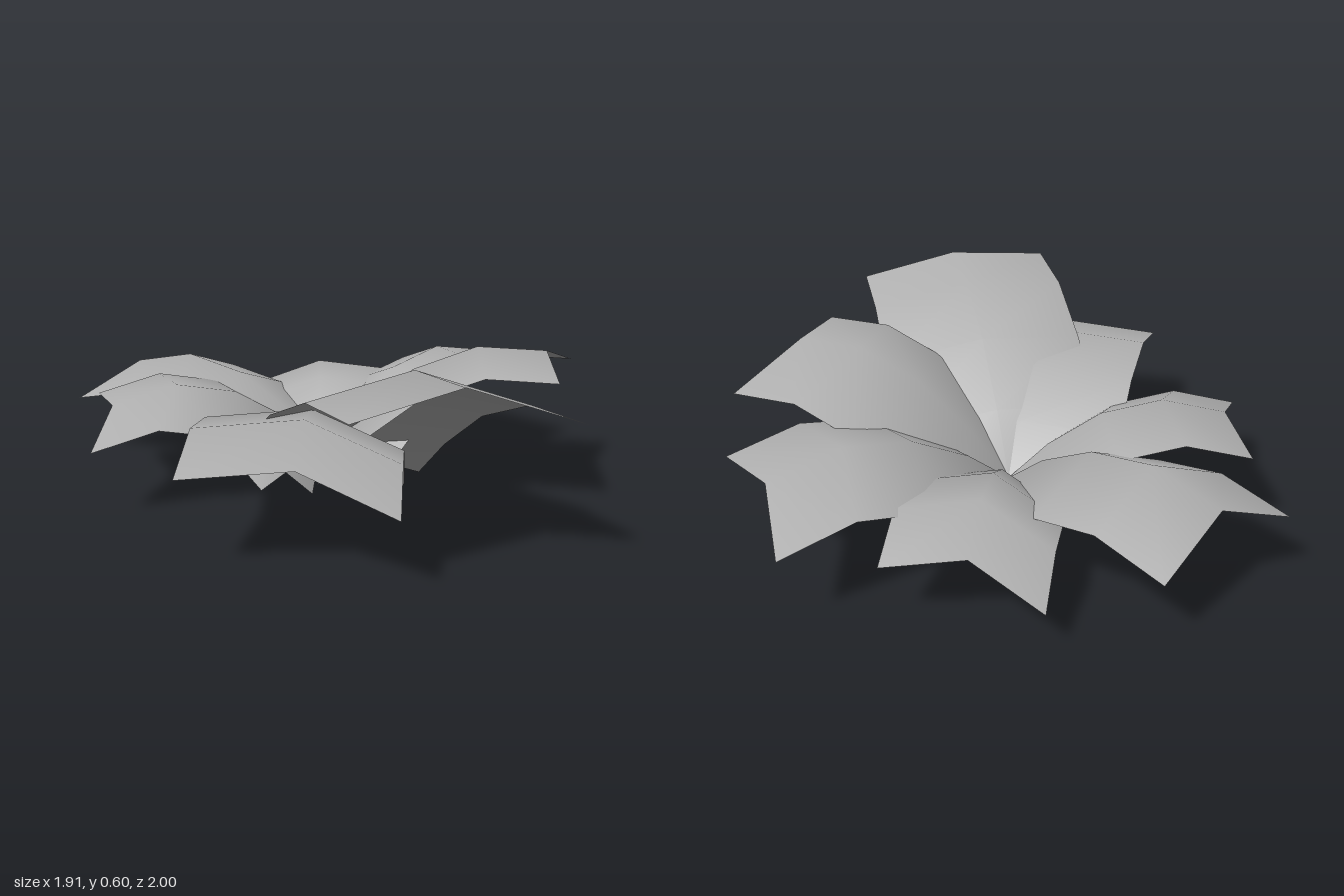
import * as THREE from 'three';

// Each leaf is set by its tip: two corners with the ridge point between them, and how far it arches
const LEAVES = [
  { name: 'frontLeaf', arch: 0.17, tip: [[-0.39, 0.31, 0.80], [-0.03, 0.34, 0.79], [0.28, 0.24, 0.92]] },
  { name: 'frontLeftLeaf', arch: 0.15, tip: [[0.13, 0.55, 1.00], [0.46, 0.60, 0.79], [0.83, 0.48, 0.75]] },
  { name: 'leftLeaf', arch: 0.15, tip: [[0.81, 0.48, 0.29], [0.81, 0.52, -0.02], [0.95, 0.42, -0.31]] },
  { name: 'backLeftLeaf', arch: 0.15, tip: [[0.88, 0.31, -0.55], [0.65, 0.35, -0.75], [0.52, 0.24, -1.00]] },
  { name: 'backLeaf', arch: 0.14, tip: [[0.24, 0.20, -0.91], [-0.03, 0.24, -0.87], [-0.28, 0.13, -0.94]] },
  { name: 'backRightLeaf', arch: 0.15, tip: [[-0.61, 0.22, -0.85], [-0.75, 0.33, -0.58], [-0.96, 0.22, -0.39]] },
  { name: 'rightLeaf', arch: 0.15, tip: [[-0.83, 0.30, -0.18], [-0.72, 0.33, 0.09], [-0.74, 0.24, 0.36]] },
];
const ROOT = new THREE.Vector3(0.01, 0.11, -0.15);
const ROWS = [0, 0.18, 0.42, 0.7, 1];

// Sweeps the folded tip section along an arched midrib from the root
function leafGeometry(tip, arch) {
  const corners = tip.map((p) => new THREE.Vector3(...p));
  const mid = corners[1];
  const positions = [];
  const index = [];
  ROWS.forEach((t, i) => {
    const rib = ROOT.clone().lerp(mid, t);
    rib.y += arch * 4 * t * (1 - t);
    corners.forEach((c, j) => {
      const p = c.clone().sub(mid).add(rib);
      positions.push(p.x, Math.max(p.y, 0), p.z);
      if (i < ROWS.length - 1 && j < 2) {
        const a = i * 3 + j;
        index.push(a, a + 3, a + 1, a + 1, a + 3, a + 4);
      }
    });
  });
  const geometry = new THREE.BufferGeometry();
  geometry.setAttribute('position', new THREE.Float32BufferAttribute(positions, 3));
  geometry.setIndex(index);
  geometry.computeVertexNormals();
  return geometry;
}

export function createModel() {
  const group = new THREE.Group();
  group.name = 'leafRosette';
  const leafGrey = new THREE.MeshStandardMaterial({ color: 0xb0b0b0, side: THREE.DoubleSide });
  leafGrey.name = 'leafGrey';
  for (const { name, tip, arch } of LEAVES) {
    const leaf = new THREE.Mesh(leafGeometry(tip, arch), leafGrey);
    leaf.name = name;
    group.add(leaf);
  }
  return group;
}
